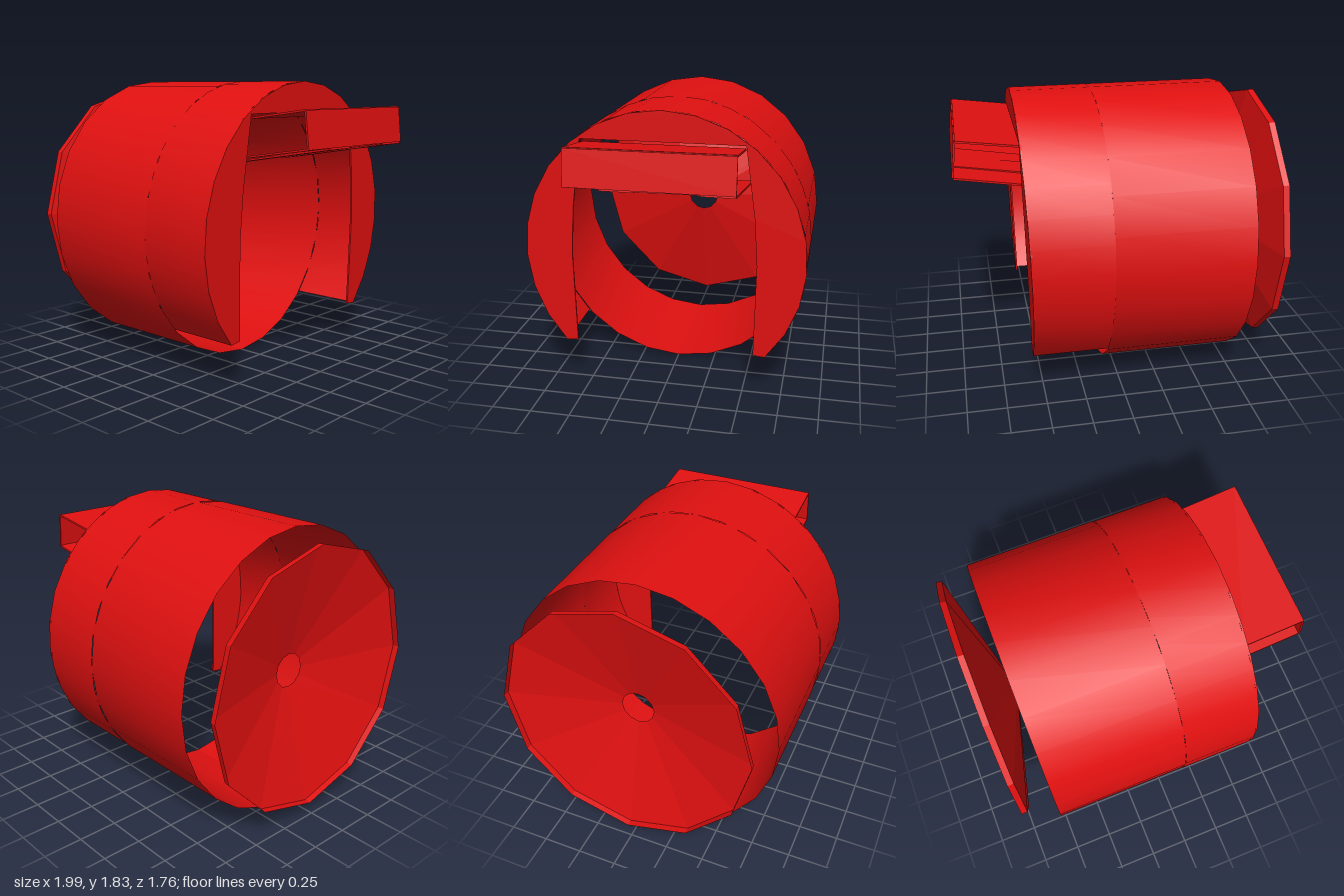
import * as THREE from 'three';

const CY = 0.915, RY = 0.913, RZ = 0.88;          // shell centre height and radii
const GAP = THREE.MathUtils.degToRad(47);         // half angle of the bottom opening
const frontX = (y) => 0.562 + 0.018 * (y - 0.3);  // the front edge leans slightly

// Grid surface: point(u, v) with u, v in 0..1
function sheet(point, nu, nv) {
  const pos = [], idx = [];
  for (let i = 0; i <= nu; i++)
    for (let j = 0; j <= nv; j++) pos.push(...point(i / nu, j / nv));
  for (let i = 0; i < nu; i++)
    for (let j = 0; j < nv; j++) {
      const a = i * (nv + 1) + j, b = a + nv + 1;
      idx.push(a, a + 1, b, b, a + 1, b + 1);
    }
  const g = new THREE.BufferGeometry();
  g.setAttribute('position', new THREE.Float32BufferAttribute(pos, 3));
  g.setIndex(idx);
  g.computeVertexNormals();
  return g;
}

// Point on the shell ring, angle measured from the bottom
const ring = (a) => [CY - RY * Math.cos(a), RZ * Math.sin(a)];

export function createModel() {
  const group = new THREE.Group();
  const red = new THREE.MeshStandardMaterial({ color: 0xe01010, side: THREE.DoubleSide });
  red.name = 'red';
  const add = (name, geometry, parent = group) => {
    const m = new THREE.Mesh(geometry, red);
    m.name = name;
    parent.add(m);
    return m;
  };

  // Rear sleeve: full thin tube
  add('rearSleeve', sheet((u, v) => {
    const [y, z] = ring(u * Math.PI * 2);
    return [-0.775 + v * 0.865, y, z];
  }, 24, 1));

  // Front sleeve: same tube, open at the bottom
  add('frontSleeve', sheet((u, v) => {
    const [y, z] = ring(GAP + u * (Math.PI * 2 - 2 * GAP));
    return [0.09 + v * (frontX(y) - 0.09), y, z];
  }, 24, 1));

  // Front wall: an arch around a tall doorway
  const arch = new THREE.Shape();
  for (let i = 0; i <= 20; i++) {
    const [y, z] = ring(GAP + (i / 20) * (Math.PI * 2 - 2 * GAP));
    if (i === 0) arch.moveTo(z, y); else arch.lineTo(z, y);
  }
  [[-0.57, 0.3], [-0.58, 0.9], [-0.56, 1.2], [-0.5, 1.64],
    [0.5, 1.64], [0.56, 1.2], [0.58, 0.9], [0.57, 0.3]].forEach((p) => arch.lineTo(...p));
  const wall = new THREE.ExtrudeGeometry(arch, { depth: 0.012, bevelEnabled: false });
  wall.rotateY(Math.PI / 2);
  const p = wall.attributes.position;
  for (let i = 0; i < p.count; i++) p.setX(i, p.getX(i) + frontX(p.getY(i)) - 0.006);
  wall.computeVertexNormals();
  add('frontWall', wall);

  // Back dish: twelve-sided lip and a cone narrowing to a hole
  const dish = (x0, r0, x1, r1) => sheet((u, v) => {
    const a = u * Math.PI * 2, r = r0 + v * (r1 - r0);
    return [x0 + v * (x1 - x0), 0.93 - r * Math.cos(a), -0.022 + 0.97 * r * Math.sin(a)];
  }, 12, 1).toNonIndexed();
  for (const [name, ...d] of [['dishLip', -1, 0.842, -0.96, 0.838],
    ['dishCone', -0.96, 0.838, -0.775, 0.11]]) {
    const g = dish(...d);
    g.computeVertexNormals();
    add(name, g);
  }

  // Canopy: sloping roof, end panel and slatted underside, open at the sides
  const canopy = new THREE.Group();
  canopy.name = 'canopy';
  group.add(canopy);
  const panel = (name, x0, y0, x1, y1, z0, z1, t) => {
    const g = new THREE.BoxGeometry(Math.hypot(x1 - x0, y1 - y0), t, z1 - z0);
    const m = add(name, g, canopy);
    m.position.set((x0 + x1) / 2, (y0 + y1) / 2, (z0 + z1) / 2);
    m.rotation.z = Math.atan2(y1 - y0, x1 - x0);
  };
  panel('canopyRoof', 0.58, 1.617, 0.955, 1.667, -0.5, 0.48, 0.012);
  panel('canopyEnd', 0.957, 1.668, 0.98, 1.45, -0.5, 0.48, 0.012);
  const edges = [-0.5, -0.3, -0.1, 0.07, 0.27, 0.48];
  const drop = [0, 0.012, 0.008, 0, 0.018];
  drop.forEach((d, i) => panel('canopySlat', 0.18, 1.316 + d, 0.978, 1.445 + d / 2,
    edges[i], edges[i + 1], 0.012));

  return group;
}
